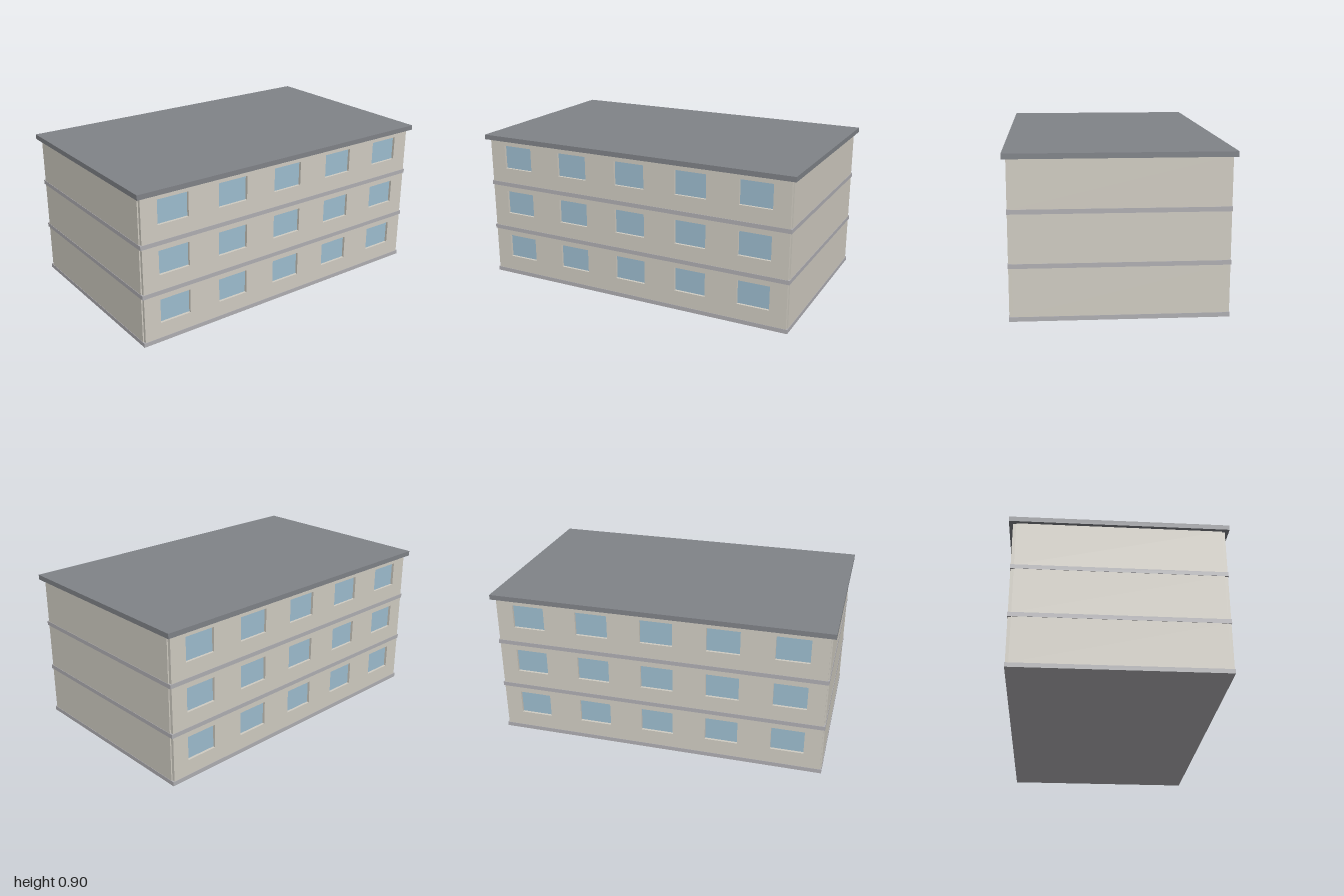
import * as THREE from 'three';

const STOREYS = 3, PITCH = 0.291, SLAB_H = 0.025;
const WALL_H = PITCH - SLAB_H;
const WIN_W = 0.193, WIN_H = 0.143, WIN_GAP = 0.388, WIN_Y = 0.163; // window centre above slab top

const wallMat = new THREE.MeshStandardMaterial({ color: 0xd0ccc2 });
const slabMat = new THREE.MeshStandardMaterial({ color: 0xb0afb3 });
const roofMat = new THREE.MeshStandardMaterial({ color: 0x808388 });
const glassMat = new THREE.MeshStandardMaterial({ color: 0x9dbdcf });

function box(name, mat, w, h, d, x, y, z) {
  const m = new THREE.Mesh(new THREE.BoxGeometry(w, h, d), mat);
  m.name = name;
  m.position.set(x, y, z);
  return m;
}

// Rectangle outline used for the facade panel and its openings
function rect(Type, cx, y0, w, h) {
  return new Type([
    new THREE.Vector2(cx - w / 2, y0), new THREE.Vector2(cx + w / 2, y0),
    new THREE.Vector2(cx + w / 2, y0 + h), new THREE.Vector2(cx - w / 2, y0 + h),
  ]);
}

// Long wall panel with five openings and recessed panes
function facade() {
  const g = new THREE.Group();
  g.name = 'facade';
  const shape = rect(THREE.Shape, 0, 0, 1.946, WALL_H);
  for (let i = -2; i <= 2; i++) {
    shape.holes.push(rect(THREE.Path, i * WIN_GAP, WIN_Y - WIN_H / 2, WIN_W, WIN_H));
    g.add(box('windowPane', glassMat, WIN_W, WIN_H, 0.004, i * WIN_GAP, WIN_Y, 0.572));
  }
  const wall = new THREE.Mesh(
    new THREE.ExtrudeGeometry(shape, { depth: 0.018, bevelEnabled: false }), wallMat);
  wall.name = 'windowWall';
  wall.position.z = 0.571;
  g.add(wall);
  return g;
}

export function createModel() {
  const building = new THREE.Group();
  building.name = 'building';

  for (let s = 0; s < STOREYS; s++) {
    const storey = new THREE.Group();
    storey.name = 'storey' + (s + 1);
    storey.position.y = s * PITCH;
    storey.add(box('floorSlab', slabMat, 1.964, SLAB_H, 1.182, 0, SLAB_H / 2, 0));

    // Front and back walls
    for (const turn of [0, Math.PI]) {
      const f = facade();
      f.position.y = SLAB_H;
      f.rotation.y = turn;
      storey.add(f);
    }
    // Plain end walls, leaving a small notch at each corner
    for (const side of [-1, 1]) {
      storey.add(box('endWall', wallMat, 0.018, WALL_H, 1.142, side * 0.971, SLAB_H + WALL_H / 2, 0));
    }
    building.add(storey);
  }

  // Overhanging flat roof
  building.add(box('roof', roofMat, 2, 0.029, 1.222, 0, STOREYS * PITCH + 0.0145, 0));
  return building;
}
